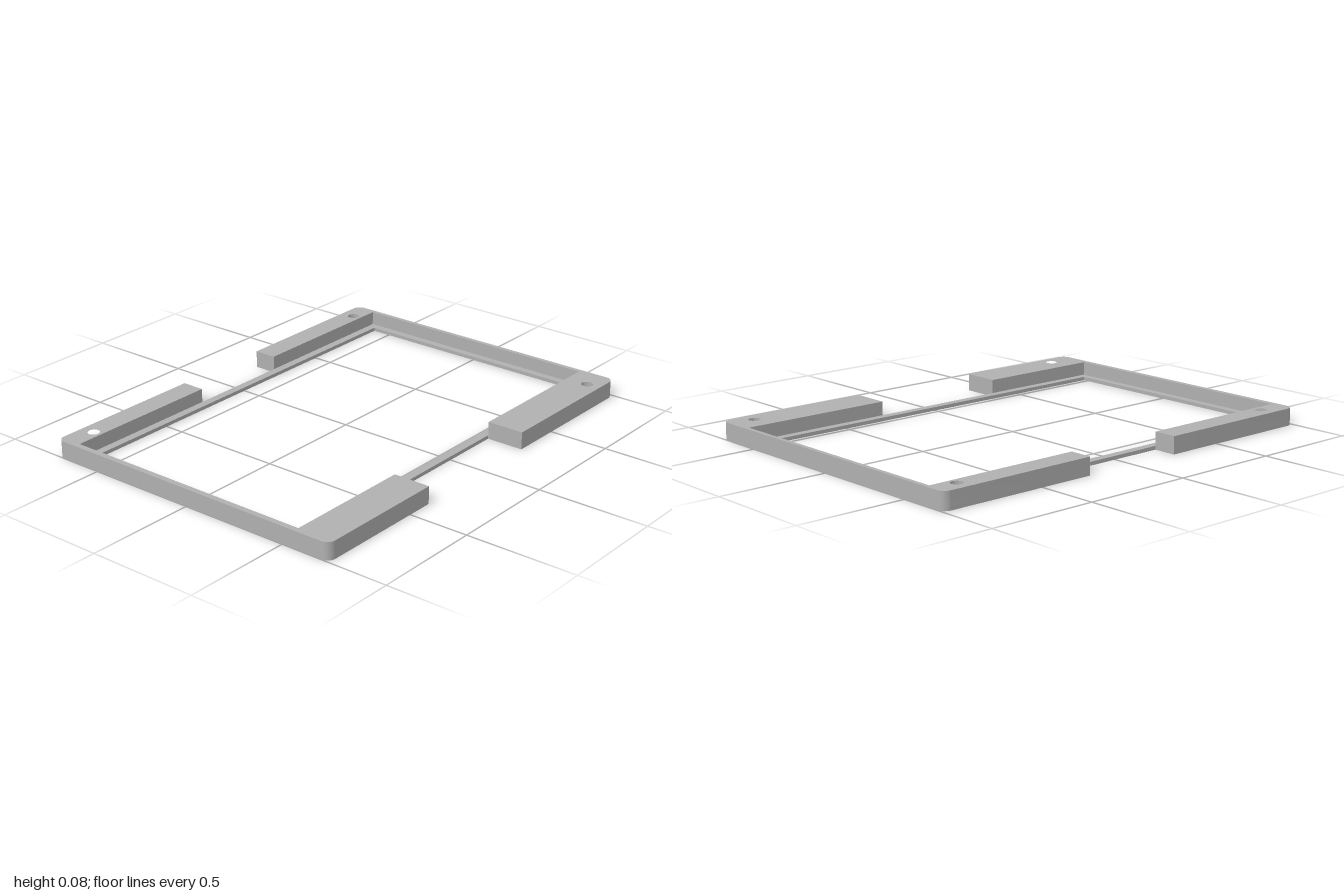
import * as THREE from 'three';
import { toCreasedNormals } from 'three/addons/utils/BufferGeometryUtils.js';

const HEIGHT = 0.078, LIP = 0.016;                          // total height, ledge thickness
const X0 = -0.73, X1 = 0.73, R = 0.037;                     // outer sides, corner radius
const POCKET = { x0: -0.625, x1: 0.56, z0: -0.98, z1: 0.974 };
const OPENING = { x0: -0.588, x1: 0.522, z0: -0.946, z1: 0.937 };
const NOTCH = { leftBack: -0.245, leftFront: 0.237, rightBack: -0.271, rightFront: 0.38 };
const HOLE_X = 0.665, HOLE_R = 0.026, HOLE_BACK = -0.88, HOLE_FRONT = 0.855;

// Polygon in x, z; a point marked true gets a rounded corner
function outline(points) {
  const shape = new THREE.Shape();
  const n = points.length;
  points.forEach(([x, z, round], i) => {
    const p = new THREE.Vector2(x, z);
    const toward = (q, d) => p.clone().add(new THREE.Vector2(q[0] - x, q[1] - z).setLength(d));
    const prev = points[(i + n - 1) % n], next = points[(i + 1) % n];
    const a = round ? toward(prev, R) : p;
    if (i === 0) shape.moveTo(a.x, a.y); else shape.lineTo(a.x, a.y);
    if (round) {
      const b = toward(next, R), c = toward(prev, R * 0.448), d = toward(next, R * 0.448);
      shape.bezierCurveTo(c.x, c.y, d.x, d.y, b.x, b.y);
    }
  });
  return shape;
}

function addScrewHoles(shape, z) {
  for (const x of [-HOLE_X, HOLE_X]) {
    shape.holes.push(new THREE.Path().absarc(x, z, HOLE_R, 0, Math.PI * 2, true));
  }
}

// Extrude a plan shape between two heights
function slab(name, shape, y0, y1, material) {
  const geo = new THREE.ExtrudeGeometry(shape, { depth: y1 - y0, bevelEnabled: false, curveSegments: 12 });
  geo.rotateX(Math.PI / 2).translate(0, y1, 0);
  const mesh = new THREE.Mesh(toCreasedNormals(geo, 0.6), material);
  mesh.name = name;
  return mesh;
}

export function createModel() {
  const group = new THREE.Group();
  group.name = 'bezelFrame';
  const grey = new THREE.MeshStandardMaterial({ color: 0xb0b0b0 });
  grey.name = 'grey';

  // Thin continuous bottom with the inner ledge, notched on both sides
  const base = outline([
    [X0, -1, true], [X1, -1, true],
    [X1, NOTCH.rightBack], [POCKET.x1, NOTCH.rightBack],
    [POCKET.x1, NOTCH.rightFront], [X1, NOTCH.rightFront],
    [X1, 1, true], [X0, 1, true],
    [X0, NOTCH.leftFront], [POCKET.x0, NOTCH.leftFront],
    [POCKET.x0, NOTCH.leftBack], [X0, NOTCH.leftBack],
  ]);
  const { x0, x1, z0, z1 } = OPENING;
  base.holes.push(outline([[x0, z0], [x0, z1], [x1, z1], [x1, z0]]));
  addScrewHoles(base, HOLE_BACK);
  addScrewHoles(base, HOLE_FRONT);
  group.add(slab('baseLedge', base, 0, LIP, grey));

  // Raised U-shaped walls around the pocket
  const walls = [
    ['backWall', -1, POCKET.z0, NOTCH.leftBack, NOTCH.rightBack, HOLE_BACK],
    ['frontWall', 1, POCKET.z1, NOTCH.leftFront, NOTCH.rightFront, HOLE_FRONT],
  ];
  for (const [name, outer, inner, left, right, holeZ] of walls) {
    const wall = outline([
      [X0, outer, true], [X1, outer, true], [X1, right], [POCKET.x1, right],
      [POCKET.x1, inner], [POCKET.x0, inner], [POCKET.x0, left], [X0, left],
    ]);
    addScrewHoles(wall, holeZ);
    group.add(slab(name, wall, LIP, HEIGHT, grey));
  }
  return group;
}
